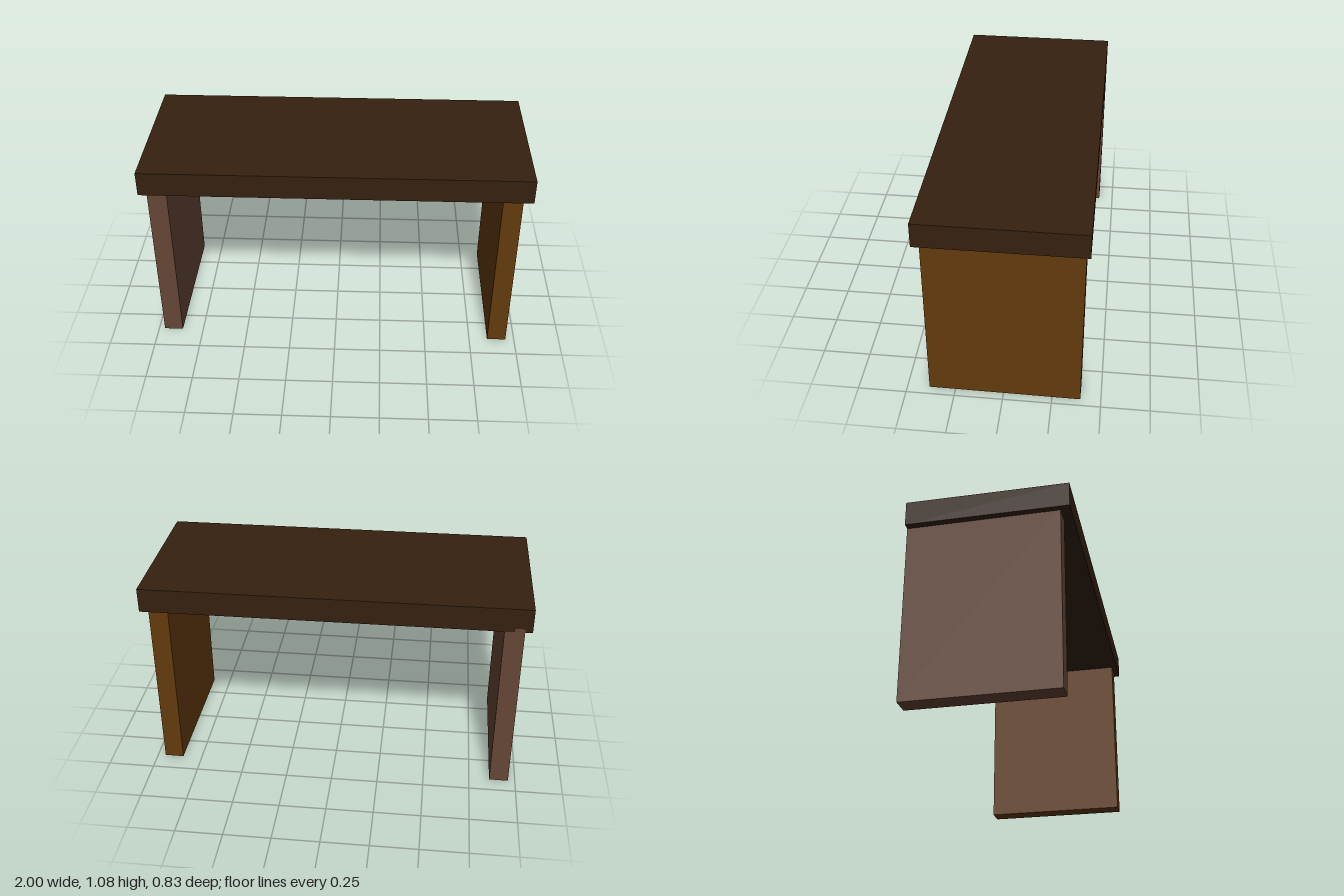
import * as THREE from 'three';

export function createModel() {
  const model = new THREE.Group();
  model.name = 'table';

  const material = (name, color) => {
    const m = new THREE.MeshStandardMaterial({ color });
    m.name = name;
    return m;
  };
  const darkWood = material('dark wood', 0x35210f);
  const amberWood = material('amber wood', 0x633a0c);
  const roseWood = material('rose wood', 0x654635);

  // Box placed by its centre in x and z and its bottom in y
  const board = (name, mat, [w, h, d], [x, y, z], yaw = 0) => {
    const mesh = new THREE.Mesh(new THREE.BoxGeometry(w, h, d), mat);
    mesh.name = name;
    mesh.position.set(x, y + h / 2, z);
    mesh.rotation.y = yaw;
    model.add(mesh);
  };

  // Thick top slab
  board('tableTop', darkWood, [2, 0.13, 0.83], [0, 0.945, 0]);

  // Panel legs, very slightly turned and set into the top
  const legSize = [0.102, 0.965, 0.78];
  board('leftLeg', amberWood, legSize, [0.904, 0, -0.005], -0.007);
  board('rightLeg', roseWood, legSize, [-0.914, 0, -0.025], -0.007);

  return model;
}
